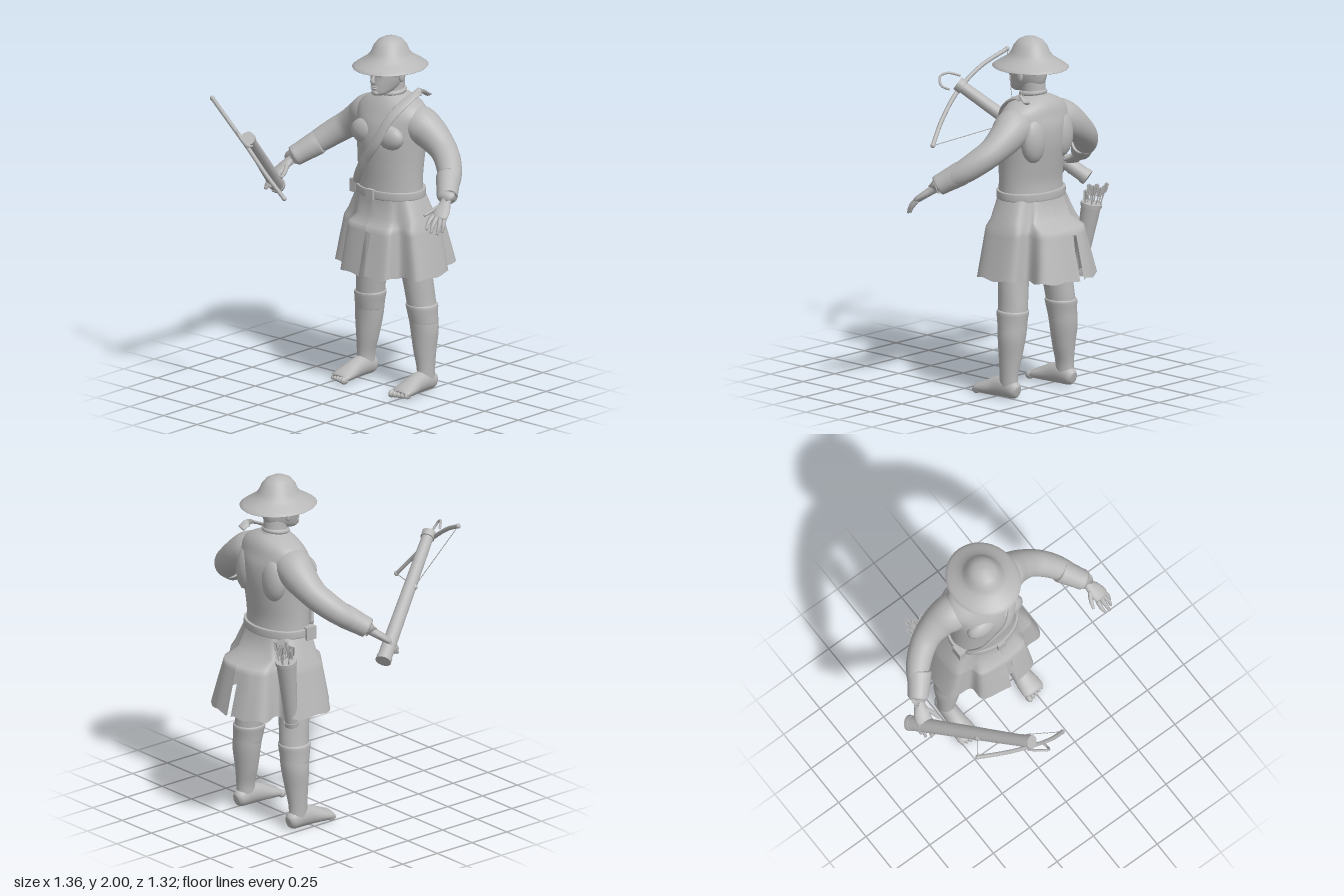
import * as THREE from 'three';

const CX = 0.02; // the figure stands a little to its left of the origin
const grey = new THREE.MeshStandardMaterial({ color: 0xb8b8b8, side: THREE.DoubleSide });
grey.name = 'plainGrey';
const V = (x, y, z) => new THREE.Vector3(x, y, z);

// Catmull-Rom interpolation of rows of numbers
function smooth(rows, n) {
  const out = [], m = rows.length - 1, at = i => rows[Math.min(Math.max(i, 0), m)];
  for (let k = 0; k <= n; k++) {
    const i = Math.min(Math.floor(k / n * m), m - 1), t = k / n * m - i;
    const [a, b, c, d] = [at(i - 1), at(i), at(i + 1), at(i + 2)];
    out.push(b.map((q, j) => q + 0.5 * t * (c[j] - a[j] + t * (2 * a[j] - 5 * q + 4 * c[j] - d[j]
      + t * (3 * (q - c[j]) + d[j] - a[j])))));
  }
  return out;
}

// Surface through rings of points; closed rings get caps
function skin(rings, closed = true) {
  const n = rings[0].length, pos = [], idx = [];
  rings.flat().forEach(p => pos.push(p.x, p.y, p.z));
  for (let i = 0; i < rings.length - 1; i++) for (let j = 0; j < (closed ? n : n - 1); j++) {
    const k = (j + 1) % n, a = i * n + j, b = i * n + k, c = b + n, d = a + n;
    idx.push(a, b, c, a, c, d);
  }
  if (closed) [0, rings.length - 1].forEach(r => {
    const mid = rings[r].reduce((s, p) => s.add(p), V(0, 0, 0)).divideScalar(n), c = pos.length / 3;
    pos.push(mid.x, mid.y, mid.z);
    for (let j = 0; j < n; j++) {
      const a = r * n + j, b = r * n + (j + 1) % n;
      r ? idx.push(a, b, c) : idx.push(b, a, c);
    }
  });
  const g = new THREE.BufferGeometry();
  g.setAttribute('position', new THREE.Float32BufferAttribute(pos, 3));
  g.setIndex(idx);
  g.computeVertexNormals();
  return g;
}

// Upright form from rows of [y, centre x, half width, front z, back z]
const loft = (rows, steps = 30, sides = 32) => skin(smooth(rows, steps).map(([y, cx, hx, zf, zb]) =>
  Array.from({ length: sides }, (_, j) => {
    const a = j / sides * Math.PI * 2;
    return V(cx + hx * Math.sin(a), y, (zf + zb) / 2 + (zf - zb) / 2 * Math.cos(a));
  })));

// Form along a path from rows of [x, y, z, radius, second radius]
function limb(rows, steps = 20, sides = 16, ref = V(0, 1, 0)) {
  const s = smooth(rows, steps), p = s.map(r => V(r[0], r[1], r[2]));
  return skin(s.map((r, i) => {
    const t = p[Math.min(i + 1, steps)].clone().sub(p[Math.max(i - 1, 0)]).normalize();
    const u = ref.clone().cross(t).normalize(), v = t.clone().cross(u);
    return Array.from({ length: sides }, (_, j) => {
      const a = j / sides * Math.PI * 2;
      return p[i].clone().addScaledVector(u, r[3] * Math.cos(a)).addScaledVector(v, (r[4] ?? r[3]) * Math.sin(a));
    });
  }));
}

function add(parent, name, geo, pos, scale) {
  const m = new THREE.Mesh(geo, grey);
  m.name = name;
  if (pos) m.position.set(...pos);
  if (scale) m.scale.set(...scale);
  parent.add(m);
  return m;
}
const ball = (parent, name, pos, size) => add(parent, name, new THREE.SphereGeometry(1, 16, 12), pos, size);

// Straight rod between two points
function rod(parent, name, a, b, r0, r1 = r0, sides = 10) {
  const d = b.clone().sub(a);
  const m = add(parent, name, new THREE.CylinderGeometry(r1, r0, d.length(), sides), a.clone().add(b).multiplyScalar(0.5).toArray());
  m.quaternion.setFromUnitVectors(V(0, 1, 0), d.normalize());
  return m;
}
const tube = (pts, r, n = 24) => new THREE.TubeGeometry(new THREE.CatmullRomCurve3(pts.map(p => V(...p))), n, r, 8);

function buildHead(g) {
  const hat = [[0, 2], [0.035, 1.996], [0.065, 1.98], [0.088, 1.95], [0.102, 1.915], [0.122, 1.888], [0.155, 1.866],
    [0.185, 1.846], [0.2, 1.834], [0.196, 1.83], [0.15, 1.855], [0.1, 1.885], [0, 1.93]];
  add(g, 'brimmedHelmet', new THREE.LatheGeometry(hat.map(p => new THREE.Vector2(...p)), 40), [0, 0, -0.281], [1, 1, 1.115]);
  add(g, 'head', loft([[1.686, 0, 0.025, -0.165, -0.22], [1.7, 0, 0.046, -0.15, -0.28], [1.735, 0, 0.066, -0.147, -0.36],
    [1.785, 0, 0.08, -0.148, -0.383], [1.835, 0, 0.084, -0.146, -0.385], [1.89, 0, 0.08, -0.17, -0.37]]));
  add(g, 'neck', loft([[1.6, 0, 0.085, -0.22, -0.4], [1.67, 0, 0.066, -0.235, -0.375], [1.77, 0, 0.064, -0.23, -0.37]], 8));
  for (const [y, r] of [[1.665, 0.07], [1.69, 0.065]]) {
    const c = add(g, 'collar', new THREE.TorusGeometry(r, 0.014, 8, 28), [0, y, -0.3]);
    c.rotation.x = Math.PI / 2 + 0.12;
  }
  add(g, 'nose', limb([[0, 1.815, -0.15, 0.008], [0, 1.785, -0.139, 0.011], [0, 1.768, -0.137, 0.015], [0, 1.757, -0.148, 0.01]], 8, 10, V(0, 0, 1)));
  for (const y of [1.738, 1.727]) ball(g, 'lip', [0, y, -0.15], [0.026, 0.006, 0.009]);
  ball(g, 'chin', [0, 1.703, -0.158], [0.024, 0.017, 0.016]);
  for (const s of [-1, 1]) {
    ball(g, 'ear', [s * 0.086, 1.79, -0.28], [0.013, 0.036, 0.022]);
    ball(g, 'brow', [s * 0.034, 1.826, -0.155], [0.026, 0.008, 0.012]);
    ball(g, 'eye', [s * 0.033, 1.806, -0.16], [0.015, 0.009, 0.009]);
  }
}

function buildTorso(g) {
  add(g, 'torso', loft([[1.1, 0, 0.203, -0.13, -0.437], [1.2, 0, 0.2, -0.132, -0.432], [1.31, 0, 0.202, -0.127, -0.448],
    [1.42, 0, 0.21, -0.122, -0.465], [1.51, 0, 0.222, -0.138, -0.466], [1.575, 0, 0.23, -0.165, -0.45],
    [1.625, 0, 0.19, -0.19, -0.435], [1.66, 0, 0.125, -0.215, -0.41], [1.685, 0, 0.06, -0.24, -0.37]], 40, 40));
  for (const s of [-1, 1]) {
    ball(g, 'chestMuscle', [s * 0.085, 1.46, -0.175], [0.1, 0.075, 0.055]);
    ball(g, 'shoulderBlade', [s * 0.105, 1.45, -0.405], [0.085, 0.13, 0.06]);
  }
  const band = (name, y0, y1, o) => add(g, name, loft([[y0, 0, 0.2 + o, -0.135 + o, -0.435 - o],
    [y0 + 0.004, 0, 0.206 + o, -0.13 + o, -0.44 - o], [y1 - 0.004, 0, 0.206 + o, -0.13 + o, -0.44 - o], [y1, 0, 0.2 + o, -0.135 + o, -0.435 - o]], 12, 40));
  band('belt', 1.105, 1.15, 0.009);
  add(g, 'buckle', new THREE.BoxGeometry(0.05, 0.055, 0.02), [0, 1.13, -0.117]);
  add(g, 'pouch', new THREE.BoxGeometry(0.04, 0.075, 0.07), [-0.205, 1.12, -0.23]);
  // Flat shoulder strap crossing the chest
  add(g, 'shoulderStrap', limb([[0.165, 1.67, -0.41, 0.025, 0.009], [0.155, 1.695, -0.35, 0.025, 0.009], [0.14, 1.645, -0.235, 0.028, 0.009],
    [0.1, 1.56, -0.155, 0.028, 0.01], [0.045, 1.43, -0.112, 0.028, 0.01], [-0.04, 1.32, -0.118, 0.028, 0.01],
    [-0.11, 1.22, -0.14, 0.028, 0.01], [-0.17, 1.15, -0.19, 0.028, 0.01]], 36, 12, V(0, 0, 1)));
}

// Skirt of side panels and flaring front and back panels, split by two slits
function buildSkirt(g) {
  const waist = [[0, -0.128], [0.1, -0.148], [0.14, -0.17], [0.185, -0.21], [0.206, -0.285], [0.185, -0.365], [0.14, -0.405], [0.1, -0.425], [0.05, -0.437], [0, -0.44]];
  const hip = [[0, -0.13], [0.11, -0.145], [0.16, -0.17], [0.235, -0.2], [0.25, -0.285], [0.235, -0.39], [0.16, -0.425], [0.14, -0.45], [0.07, -0.46], [0, -0.465]];
  const flare = [[0, -0.085], [0.14, -0.1], [0.175, -0.16], [0.25, -0.18], [0.268, -0.285], [0.25, -0.41], [0.18, -0.44], [0.17, -0.52], [0.1, -0.57], [0, -0.585]];
  const hem = [[0, -0.022], [0.165, -0.055], [0.19, -0.15], [0.305, -0.165], [0.33, -0.285], [0.3, -0.425], [0.205, -0.455], [0.222, -0.57], [0.12, -0.635], [0, -0.655]];
  const mix = t => flare.map((p, i) => [p[0] + (hem[i][0] - p[0]) * t, p[1] + (hem[i][1] - p[1]) * t]);
  const rows = [[0.68, hem, 1], [0.78, mix(0.65), 1], [0.86, mix(0.36), 1], [0.92, mix(0.14), 1], [0.925, mix(0.13), 0], [0.955, flare, 0], [0.995, hip, 0], [1.115, waist, 0]];
  for (const s of [1, -1]) {
    const rings = rows.map(([y, pts, slit], r) => {
      const line = smooth(pts, 54).map(([x, z], i) => {
        const f = Math.max(0, 1 - i / 8), b = Math.max(0, 1 - (54 - i) / 8);
        const wave = r < 3 ? Math.sin(i * 0.9 + s) * 0.006 * (3 - r) / 3 : 0;
        return V(s * x + slit * (f * (0.02 + s * 0.02) + b * (-0.02 + s * 0.015)), y + wave, z);
      });
      return s > 0 ? line : line.reverse();
    });
    add(g, 'skirtHalf', skin(rings, false));
  }
  add(g, 'frontPleat', new THREE.BoxGeometry(0.07, 0.25, 0.006), [0.02, 0.81, -0.1]).rotation.x = -0.12;
  add(g, 'backPleat', new THREE.BoxGeometry(0.06, 0.25, 0.006), [-0.02, 0.81, -0.57]).rotation.x = 0.12;
}

function buildLeg(g, s) {
  add(g, 'leg', loft([[0.05, s * 0.222, 0.045, -0.27, -0.385], [0.13, s * 0.222, 0.047, -0.272, -0.383], [0.23, s * 0.212, 0.063, -0.265, -0.395],
    [0.35, s * 0.205, 0.08, -0.258, -0.412], [0.45, s * 0.194, 0.08, -0.248, -0.414], [0.52, s * 0.186, 0.078, -0.24, -0.412],
    [0.68, s * 0.165, 0.086, -0.222, -0.4], [0.85, s * 0.125, 0.098, -0.19, -0.41], [1.05, s * 0.1, 0.1, -0.18, -0.41]], 40, 24));
  add(g, 'stockingTop', loft([[0.39, s * 0.201, 0.081, -0.255, -0.413], [0.44, s * 0.196, 0.084, -0.245, -0.416],
    [0.488, s * 0.191, 0.088, -0.238, -0.42], [0.496, s * 0.19, 0.078, -0.245, -0.41]], 12, 24));
  add(g, 'foot', limb([[s * 0.222, 0.045, -0.397, 0.022, 0.03], [s * 0.222, 0.05, -0.375, 0.042, 0.048], [s * 0.222, 0.062, -0.31, 0.048, 0.06],
    [s * 0.222, 0.055, -0.24, 0.052, 0.054], [s * 0.224, 0.042, -0.18, 0.062, 0.041], [s * 0.224, 0.031, -0.125, 0.064, 0.029], [s * 0.224, 0.025, -0.11, 0.055, 0.02]], 24));
  for (let i = 0; i < 5; i++)
    ball(g, 'toe', [s * (0.178 + i * 0.0235), 0.023, -0.102 - i * 0.006], [i ? 0.012 : 0.017, i ? 0.019 : 0.022, 0.028]);
}

function buildArm(g, s) {
  const path = (rows, n, k) => limb(rows.map(r => [s * r[0], ...r.slice(1)]), n, k);
  add(g, 'sleeve', path([[0.12, 1.53, -0.315, 0.1], [0.19, 1.515, -0.325, 0.107], [0.26, 1.475, -0.335, 0.094], [0.35, 1.415, -0.325, 0.078],
    [0.42, 1.365, -0.29, 0.073], [0.485, 1.31, -0.235, 0.066], [0.54, 1.26, -0.165, 0.052]], 28, 24));
  add(g, 'cuff', path([[0.485, 1.302, -0.222, 0.06], [0.488, 1.3, -0.218, 0.068], [0.545, 1.25, -0.15, 0.06], [0.568, 1.23, -0.122, 0.057], [0.57, 1.228, -0.12, 0.045]], 16, 24));
  add(g, 'palm', path([[0.56, 1.235, -0.135, 0.036, 0.03], [0.58, 1.205, -0.095, 0.03, 0.025], [0.595, 1.175, -0.055, 0.044, 0.022], [0.61, 1.145, -0.015, 0.046, 0.019], [0.613, 1.135, -0.005, 0.03, 0.012]], 14, 14));
  const fingers = [[[0.575, 1.15, 0.0], [0.575, 1.115, 0.04], [0.585, 1.085, 0.065]], [[0.6, 1.145, 0.0], [0.607, 1.105, 0.04], [0.613, 1.07, 0.062]],
    [[0.618, 1.14, -0.01], [0.635, 1.1, 0.02], [0.638, 1.06, 0.04]], [[0.635, 1.14, -0.025], [0.648, 1.105, -0.002], [0.65, 1.07, 0.012]],
    [[0.57, 1.19, -0.06], [0.545, 1.165, -0.02], [0.53, 1.145, 0.025]]];
  fingers.forEach((f, i) => add(g, i < 4 ? 'finger' : 'thumb', path(f.map((p, k) => [...p, [0.014, 0.012, 0.007][k]]), 8, 8)));
}

function buildQuiver(g) {
  const low = V(-0.235, 0.63, -0.4), top = V(-0.268, 1.04, -0.47);
  rod(g, 'quiver', low, top, 0.034, 0.056, 20);
  rod(g, 'quiverBase', low, low.clone().lerp(top, 0.06), 0.038, 0.04, 20);
  rod(g, 'quiverRim', top.clone().lerp(low, 0.05), top, 0.06, 0.06, 20);
  for (let i = 0; i < 9; i++) {
    const a = i * 2.4, r = 0.04 * Math.sqrt((i + 0.5) / 9);
    const b = top.clone().add(V(r * Math.cos(a), -0.05, r * Math.sin(a)));
    const e = b.clone().add(V(-0.015 + 0.9 * r * Math.cos(a), 0.15 + 0.02 * Math.sin(i * 3), -0.025 + 0.5 * r * Math.sin(a)));
    const arrow = rod(g, 'arrow', b, e, 0.004, 0.004, 6), h = e.distanceTo(b);
    for (let k = 0; k < 3; k++) add(arrow, 'fletching', new THREE.BoxGeometry(0.024, 0.05, 0.002), [0, h / 2 - 0.03, 0]).rotation.y = k * Math.PI / 3;
  }
}

function buildCrossbow(g) {
  const back = V(-0.64, 1.05, -0.085), front = V(-0.28, 1.535, 0.55), mid = t => back.clone().lerp(front, t);
  rod(g, 'stock', back, front, 0.042, 0.033, 14);
  rod(g, 'stockCap', mid(0.965), mid(1.01), 0.04, 0.04, 14);
  rod(g, 'stockButt', mid(0), mid(0.03), 0.045, 0.045, 14);
  const tips = [V(-0.6, 1.69, 0.49), V(-0.04, 1.235, 0.52)], nut = mid(0.57).add(V(-0.02, 0.01, 0.02));
  add(g, 'bow', tube([tips[0].toArray(), [-0.44, 1.61, 0.54], [-0.275, 1.49, 0.56], [-0.14, 1.35, 0.55], tips[1].toArray()], 0.012));
  for (const t of tips) {
    ball(g, 'bowTip', t.toArray(), [0.014, 0.014, 0.014]);
    rod(g, 'string', t, nut, 0.0025, 0.0025, 5);
  }
  ball(g, 'nut', nut.toArray(), [0.018, 0.018, 0.018]);
  add(g, 'stirrup', tube([[-0.33, 1.57, 0.585], [-0.28, 1.585, 0.635], [-0.24, 1.57, 0.655], [-0.222, 1.525, 0.63], [-0.228, 1.51, 0.575]], 0.007));
}

export function createModel() {
  const model = new THREE.Group(), figure = new THREE.Group(), gear = new THREE.Group();
  model.name = 'crossbowman';
  figure.name = 'figure';
  gear.name = 'gear';
  figure.position.x = CX;
  model.add(figure, gear);
  buildHead(figure);
  buildTorso(figure);
  buildSkirt(figure);
  for (const s of [1, -1]) {
    buildLeg(figure, s);
    buildArm(figure, s);
  }
  buildQuiver(gear);
  buildCrossbow(gear);
  return model;
}
